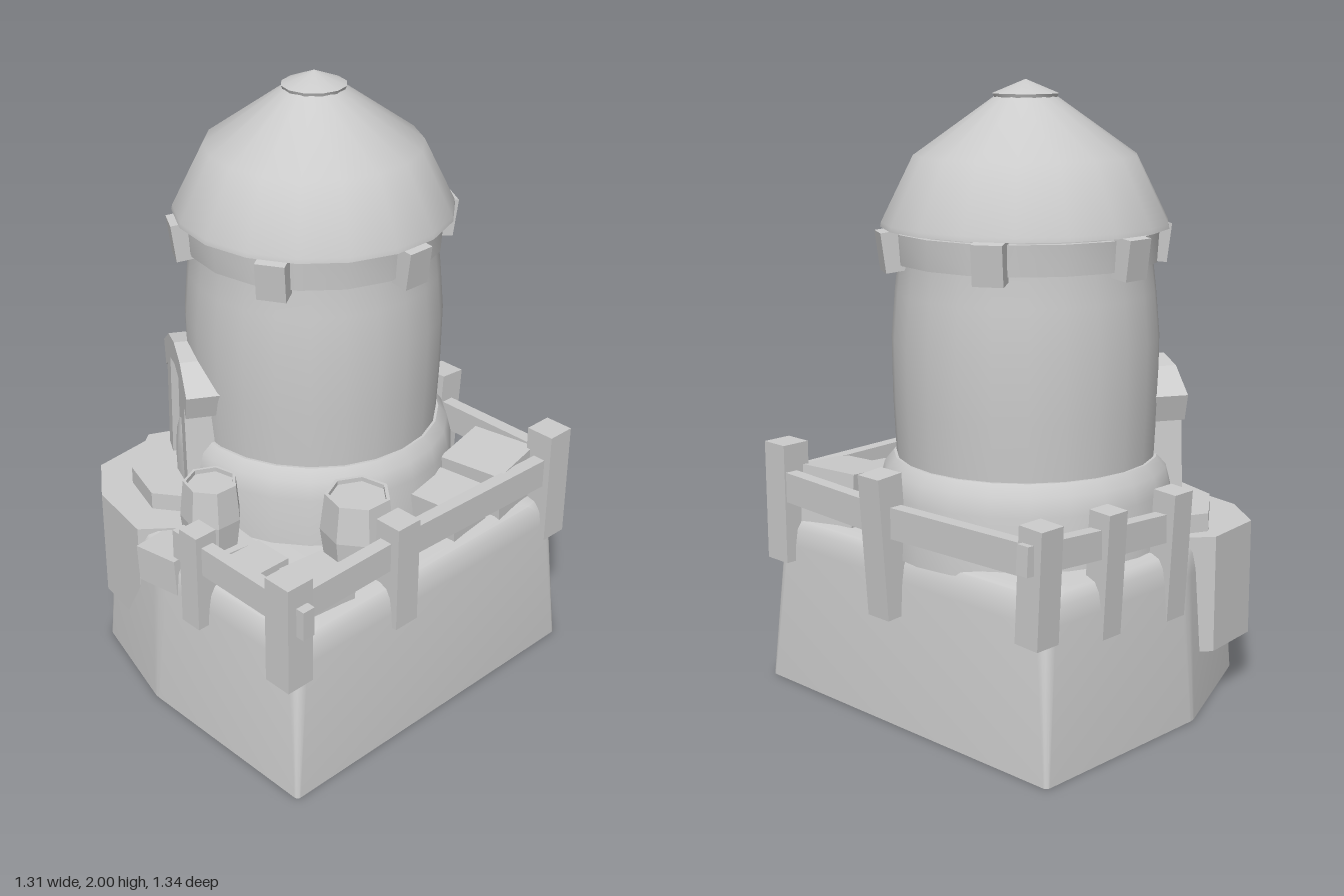
import * as THREE from 'three';
import { toCreasedNormals } from 'three/addons/utils/BufferGeometryUtils.js';

const grey = new THREE.MeshStandardMaterial({ color: 0xcccccc });
const flat = new THREE.MeshStandardMaterial({ color: 0xcccccc, flatShading: true });

function add(parent, name, geometry, material = flat, pos = [0, 0, 0], rot = [0, 0, 0]) {
  const m = new THREE.Mesh(geometry, material);
  m.name = name;
  m.position.set(...pos);
  m.rotation.set(...rot);
  parent.add(m);
  return m;
}

function box(parent, name, size, pos, rot) {
  return add(parent, name, new THREE.BoxGeometry(...size), flat, pos, rot);
}

// Box beam running between two points
function beam(parent, name, a, b, height, depth) {
  const p = new THREE.Vector3(...a), q = new THREE.Vector3(...b);
  const m = box(parent, name, [depth, height, p.distanceTo(q)], p.clone().add(q).multiplyScalar(0.5).toArray());
  m.lookAt(q);
  return m;
}

function lathe(profile, sides) {
  return new THREE.LatheGeometry(profile.map(([r, y]) => new THREE.Vector2(r, y)), sides);
}

// Prism standing on a plan of [x, z] corners
function prism(plan, y0, y1) {
  const shape = new THREE.Shape(plan.map(([x, z]) => new THREE.Vector2(x, -z)));
  const g = new THREE.ExtrudeGeometry(shape, { depth: y1 - y0, bevelEnabled: false });
  return g.rotateX(-Math.PI / 2).translate(0, y0, 0);
}

// Plan outline, shrunk and with each corner replaced by a small curve
function roundedRing(plan, scale, radius) {
  const pts = plan.map(([x, z]) => new THREE.Vector2(x * scale, z * scale));
  return pts.flatMap((p, i) => {
    const prev = pts[(i + pts.length - 1) % pts.length], next = pts[(i + 1) % pts.length];
    const a = p.clone().add(prev.clone().sub(p).setLength(radius));
    const b = p.clone().add(next.clone().sub(p).setLength(radius));
    return new THREE.QuadraticBezierCurve(a, p, b).getPoints(4);
  });
}

function loftBase() {
  const plan = [[0.63, 0.64], [-0.06, 0.64], [-0.45, 0.53], [-0.65, 0.07], [-0.65, -0.61], [0.63, -0.61]];
  const levels = [[0, 1, 0.015], [0.47, 0.955, 0.04], [0.525, 0.94, 0.06], [0.553, 0.915, 0.08], [0.565, 0.87, 0.1]];
  const pos = [], idx = [];
  levels.forEach(([y, s, r]) => roundedRing(plan, s, r).forEach(p => pos.push(p.x, y, p.y)));
  const n = pos.length / 3 / levels.length, last = (levels.length - 1) * n;
  for (let l = 0; l < levels.length - 1; l++) {
    for (let i = 0; i < n; i++) {
      const a = l * n + i, b = l * n + (i + 1) % n;
      idx.push(a, a + n, b, b, a + n, b + n);
    }
  }
  // bottom and top caps
  const c = pos.length / 3;
  pos.push(0, 0, 0, 0, 0.567, 0);
  for (let i = 0; i < n; i++) {
    const j = (i + 1) % n;
    idx.push(c, i, j, c + 1, last + j, last + i);
  }
  const g = new THREE.BufferGeometry();
  g.setAttribute('position', new THREE.Float32BufferAttribute(pos, 3));
  g.setIndex(idx);
  // wind the faces so that they look outwards
  const v = i => new THREE.Vector3().fromArray(pos, 3 * i);
  const mid = new THREE.Vector3(0, 0.28, 0);
  for (let t = 0; t < idx.length; t += 3) {
    const [A, B, C] = [v(idx[t]), v(idx[t + 1]), v(idx[t + 2])];
    const nrm = B.clone().sub(A).cross(C.clone().sub(A));
    if (nrm.dot(A.sub(mid)) < 0) [idx[t + 1], idx[t + 2]] = [idx[t + 2], idx[t + 1]];
  }
  g.setIndex(idx);
  return toCreasedNormals(g, 0.7);
}

function buildTower() {
  const tower = new THREE.Group();
  tower.name = 'tower';
  tower.position.set(-0.085, 0, -0.11);
  add(tower, 'collar', toCreasedNormals(lathe([[0.48, 0.54], [0.47, 0.73], [0.455, 0.79], [0.425, 0.825], [0.40, 0.825]], 24), 0.7), grey);
  add(tower, 'towerWall', lathe([[0.415, 0.8], [0.424, 1.0], [0.426, 1.2], [0.413, 1.35], [0.4, 1.46], [0.4, 1.56]], 24), grey);
  add(tower, 'band', toCreasedNormals(lathe([[0.38, 1.445], [0.418, 1.445], [0.424, 1.54], [0.38, 1.54]], 18), 0.6), grey);
  add(tower, 'roof', toCreasedNormals(lathe([[0.36, 1.55], [0.455, 1.55], [0.452, 1.565], [0.35, 1.77], [0.095, 1.95]], 18), 0.8), grey);
  add(tower, 'roofCap', toCreasedNormals(lathe([[0, 1.94], [0.1, 1.945], [0.105, 1.957], [0, 2]], 12), 0.6), grey);

  // Six brackets under the eaves
  for (let i = 0; i < 6; i++) {
    const a = i * Math.PI / 3;
    const b = box(tower, 'bracket', [0.075, 0.125, 0.095], [Math.cos(a) * 0.427, 1.487, Math.sin(a) * 0.427]);
    b.rotation.set(0, -a, -0.13);
  }

  // Doorway, turned towards the front right-hand corner
  const door = new THREE.Group();
  door.name = 'doorway';
  door.rotation.y = -Math.PI / 6;
  tower.add(door);
  box(door, 'doorPanel', [0.24, 0.42, 0.08], [0, 0.84, 0.405]);
  for (const s of [-1, 1]) {
    box(door, 'doorPost', [0.07, 0.4, 0.1], [s * 0.14, 0.82, 0.42], [0, 0, s * 0.08]);
  }
  const arch = new THREE.Shape([[-0.22, 1.02], [-0.11, 1.095], [0, 1.115], [0.11, 1.095], [0.22, 1.02], [0.195, 0.935],
    [0.095, 1.015], [0, 1.035], [-0.095, 1.015], [-0.195, 0.935]].map(p => new THREE.Vector2(...p)));
  const ag = new THREE.ExtrudeGeometry(arch, { depth: 0.12, bevelEnabled: false });
  add(door, 'doorArch', ag, flat, [0, 0, 0.35]);
  return tower;
}

function buildFence() {
  const fence = new THREE.Group();
  fence.name = 'fence';
  // x, z, width, bottom, top, tilt about x, tilt about z
  const posts = [
    [0.57, 0.615, 0.1, 0.42, 0.79, 0, 0], [0.158, 0.615, 0.08, 0.42, 0.76, 0, 0],
    [0.575, 0.16, 0.095, 0.42, 0.79, 0, 0], [0.57, -0.57, 0.1, 0.42, 0.82, 0, 0],
    [0.04, -0.61, 0.095, 0.36, 0.82, -0.07, 0], [-0.59, -0.58, 0.09, 0.42, 0.78, 0, 0.05],
    [-0.6, -0.305, 0.08, 0.38, 0.77, 0, 0.06], [-0.6, -0.005, 0.085, 0.36, 0.77, 0, 0.06]];
  for (const [x, z, w, y0, y1, rx, rz] of posts) {
    box(fence, 'fencePost', [w, y1 - y0, w], [x, (y0 + y1) / 2, z], [rx, 0, rz]);
  }
  const rails = [
    [[0.06, 0.67, 0.612], [0.65, 0.665, 0.61], 0.1],
    [[0.565, 0.67, 0.6], [0.57, 0.68, 0.16], 0.1], [[0.57, 0.69, 0.16], [0.575, 0.675, -0.58], 0.1],
    [[0.58, 0.68, -0.59], [0.04, 0.67, -0.605], 0.1], [[0.04, 0.67, -0.605], [-0.62, 0.68, -0.6], 0.1],
    [[-0.59, 0.69, -0.65], [-0.6, 0.67, -0.3], 0.09], [[-0.6, 0.67, -0.3], [-0.6, 0.65, 0.06], 0.09]];
  for (const [a, b, h] of rails) beam(fence, 'fenceRail', a, b, h, 0.045);
  return fence;
}

export function createModel() {
  const model = new THREE.Group();
  model.name = 'towerOnPlatform';
  add(model, 'platform', loftBase(), grey);
  model.add(buildTower(), buildFence());

  // Stoop and steps in front of the door
  add(model, 'stoop', prism([[-0.625, 0.2], [-0.6, 0.42], [-0.445, 0.535], [-0.195, 0.58], [-0.03, 0.38], [-0.2, 0.1], [-0.5, 0.05]], 0.19, 0.575));
  add(model, 'doorStep', prism([[-0.57, 0.23], [-0.435, 0.41], [-0.26, 0.465], [-0.13, 0.37], [-0.2, 0.15], [-0.5, 0.08]], 0.57, 0.635));
  box(model, 'lowerStep', [0.17, 0.125, 0.14], [-0.05, 0.51, 0.555], [0, 0.1, 0.07]);

  // Barrels
  for (const [x, z, r, top] of [[0.41, 0.17, 0.12, 0.815], [0.03, 0.45, 0.1, 0.81]]) {
    const h = top - 0.56;
    const g = lathe([[0, 0], [r * 0.85, 0], [r, h * 0.5], [r * 0.88, h], [r * 0.78, h], [r * 0.78, h - 0.015], [0, h - 0.015]], 7);
    add(model, 'barrel', g, flat, [x, 0.56, z], [0, 0.2, 0]);
  }

  // Crates: x, z, width, depth, top, turn, tilt
  const crates = [
    [0.435, -0.425, 0.23, 0.22, 0.735, 0.16, 0.08], [0.455, -0.205, 0.18, 0.18, 0.69, 0.12, 0.08],
    [0.255, 0.46, 0.14, 0.14, 0.63, 0, 0], [0.46, 0.395, 0.17, 0.165, 0.65, -0.1, 0],
    [0.045, 0.44, 0.18, 0.18, 0.59, -0.1, 0]];
  for (const [x, z, w, d, top, turn, tilt] of crates) {
    const y0 = 0.54;
    box(model, 'crate', [w, top - y0, d], [x, (top + y0) / 2, z], [tilt, turn, 0]);
  }
  return model;
}
